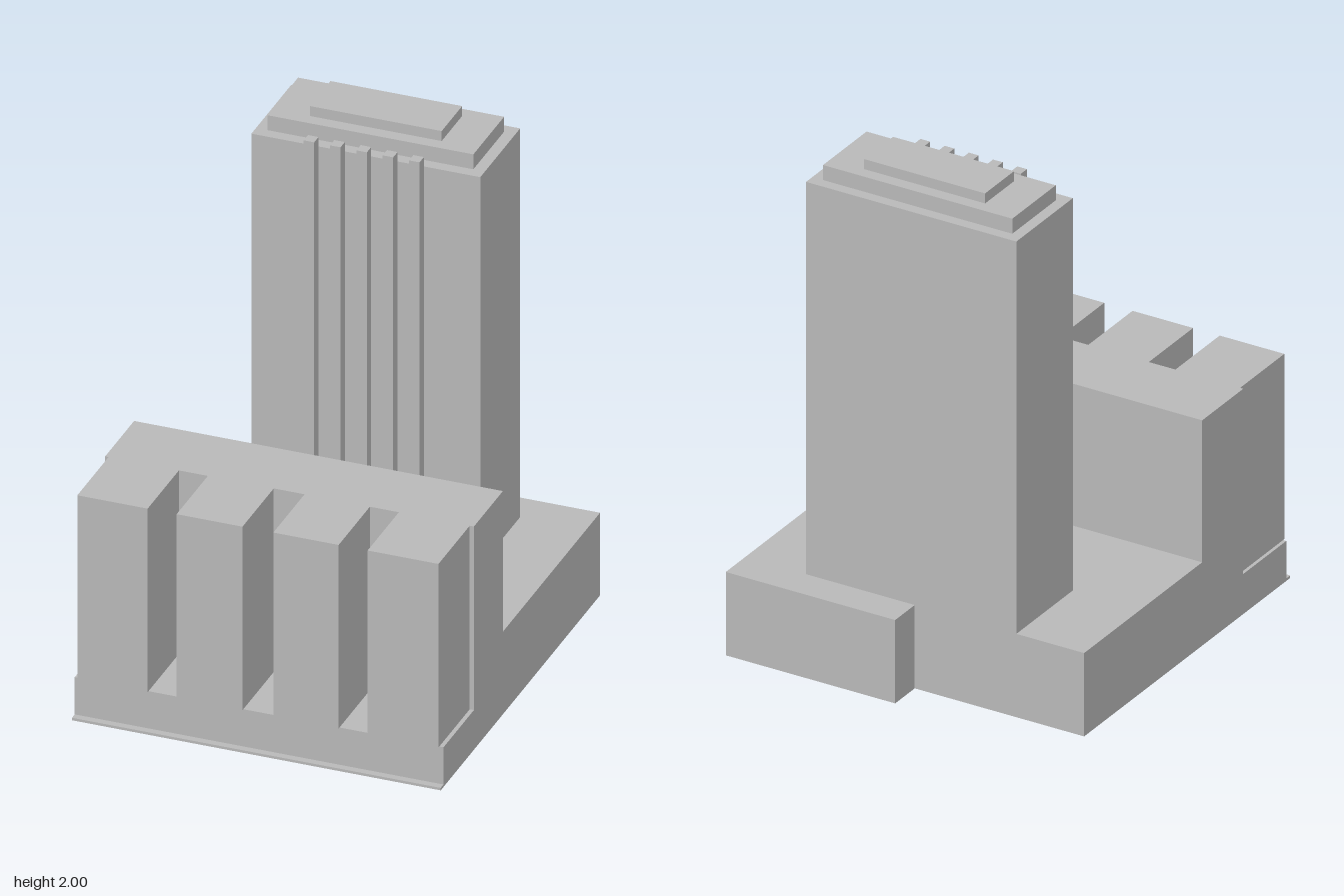
import * as THREE from 'three';

export function createModel() {
  const model = new THREE.Group();
  model.name = 'towerBuilding';
  // double-sided because the ground floor shells are open underneath
  const stone = new THREE.MeshStandardMaterial({ color: 0xb8b8b8, side: THREE.DoubleSide });
  stone.name = 'paleGreyStone';

  // Box given by its limits; open = true leaves out the bottom face
  function block(name, [x0, x1], [y0, y1], [z0, z1], open = false) {
    const geo = new THREE.BoxGeometry(x1 - x0, y1 - y0, z1 - z0);
    if (open) {
      const index = Array.from(geo.index.array);
      index.splice(18, 6);
      geo.setIndex(index);
      geo.clearGroups();
    }
    const mesh = new THREE.Mesh(geo, stone);
    mesh.name = name;
    mesh.position.set((x0 + x1) / 2, (y0 + y1) / 2, (z0 + z1) / 2);
    model.add(mesh);
    return mesh;
  }

  // Hollow podium and its rear annex
  block('podium', [-0.7, 0.7], [0, 0.333], [-0.635, 0.168], true);
  block('rearAnnex', [0, 0.7], [0, 0.333], [-0.768, -0.635], true);

  // Front hall: hollow plinth, rear wing and four piers with slots between
  block('hallPlinth', [-0.7, 0.7], [0, 0.16], [0.168, 0.74], true);
  block('hallWing', [-0.7, 0.7], [0.16, 0.9], [0.168, 0.447]);
  const piers = [[-0.687, -0.42], [-0.31, -0.06], [0.057, 0.305], [0.415, 0.684]];
  for (const span of piers) block('hallPier', span, [0.16, 0.9], [0.447, 0.748]);
  block('frontStep', [-0.7, 0.7], [0, 0.01], [0.74, 0.767]);

  // Tower with stepped crown
  block('towerShaft', [-0.42, 0.449], [0.333, 1.9], [-0.635, -0.251]);
  block('crownLower', [-0.377, 0.405], [1.9, 1.96], [-0.592, -0.296]);
  block('crownUpper', [-0.235, 0.265], [1.96, 2], [-0.543, -0.346]);

  // Vertical fins on the tower front
  for (let i = 0; i < 5; i++) {
    const x = -0.185 + i * 0.1;
    block('towerFin', [x - 0.02, x + 0.02], [0.333, 1.938], [-0.251, -0.209]);
  }
  return model;
}
